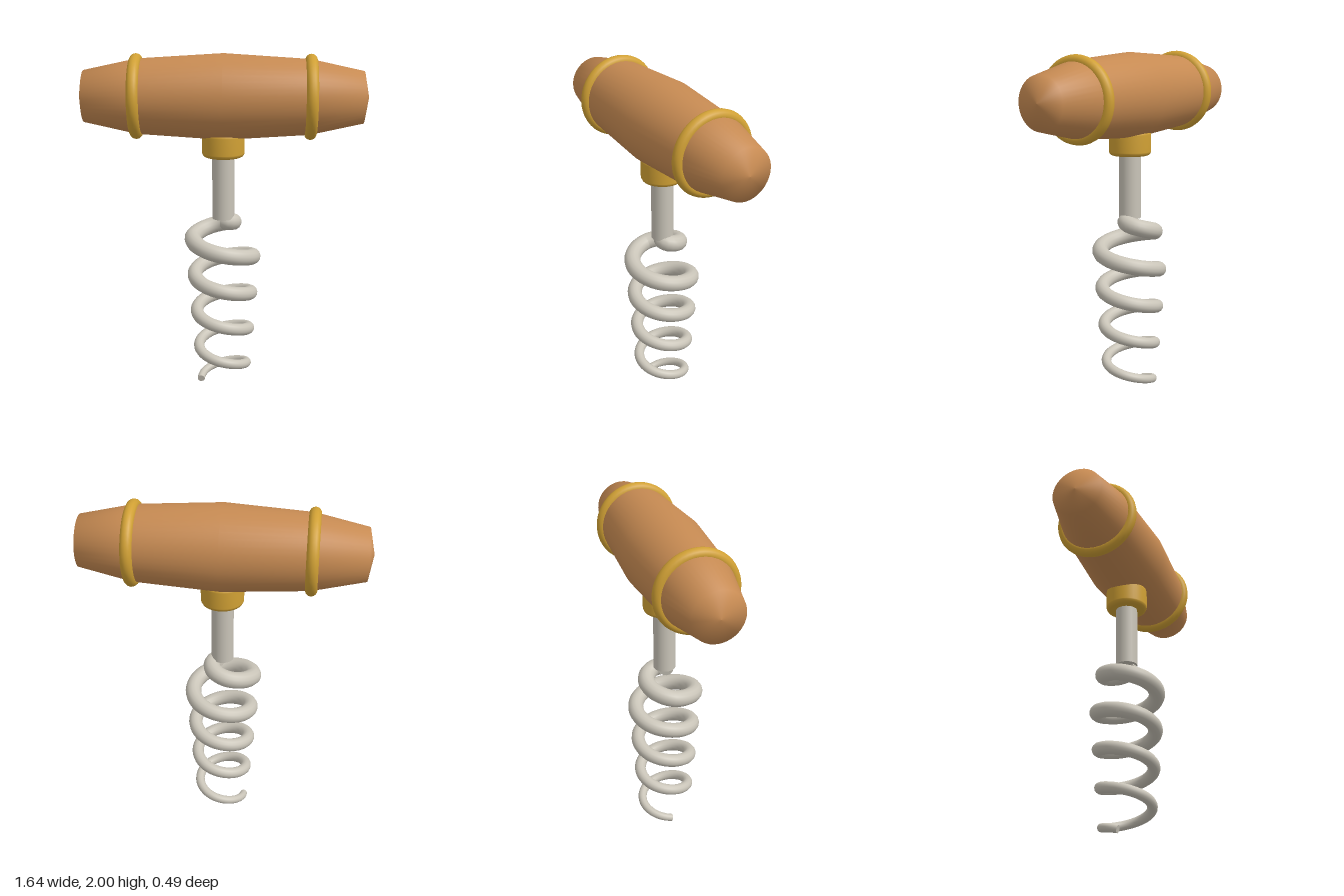
import * as THREE from 'three';

const wood = new THREE.MeshStandardMaterial({ color: 0xc68a52 });
wood.name = 'wood';
const brass = new THREE.MeshStandardMaterial({ color: 0xd0a034 });
brass.name = 'brass';
const steel = new THREE.MeshStandardMaterial({ color: 0xc9c4b8 });
steel.name = 'steel';

const HANDLE_Y = 1.757;
const TURNS = 4.62;

// Helix that widens upward, then curls in under the shaft
class WormCurve extends THREE.Curve {
  getPoint(u, target = new THREE.Vector3()) {
    const t = u * TURNS;
    const a = t * Math.PI * 2;
    const curl = Math.max(0, (t - 4) / (TURNS - 4));
    const r = (0.135 + 0.011 * t) * (1 - 0.95 * curl);
    const y = 0.025 + 0.226 * Math.min(t, 4) + 0.1 * Math.sin(curl * Math.PI / 2);
    return target.set(-Math.cos(a) * r, y, -Math.sin(a) * r);
  }
}

const wireRadius = (u) => 0.022 + 0.027 * Math.min(1, (u * TURNS) / 4) ** 0.75;

function mesh(name, geometry, material) {
  const m = new THREE.Mesh(geometry, material);
  m.name = name;
  return m;
}

function lathe(points, segments) {
  return new THREE.LatheGeometry(points.map(([r, y]) => new THREE.Vector2(r, y)), segments);
}

// Tapered wire: each tube vertex is set at the local wire radius
function buildWorm() {
  const group = new THREE.Group();
  group.name = 'worm';
  const curve = new WormCurve();
  curve.arcLengthDivisions = 800;
  const steps = 260, sides = 14;
  const geo = new THREE.TubeGeometry(curve, steps, 1, sides, false);
  const pos = geo.attributes.position, nor = geo.attributes.normal;
  const n = new THREE.Vector3();
  for (let i = 0; i <= steps; i++) {
    const centre = curve.getPointAt(i / steps);
    const r = wireRadius(curve.getUtoTmapping(i / steps));
    for (let j = 0; j <= sides; j++) {
      const k = i * (sides + 1) + j;
      n.fromBufferAttribute(nor, k).multiplyScalar(r).add(centre);
      pos.setXYZ(k, n.x, n.y, n.z);
    }
  }
  group.add(mesh('wormWire', geo, steel));

  // Flat ends of the wire
  for (const u of [0, 1]) {
    const cap = mesh(u ? 'wormTopEnd' : 'wormTip', new THREE.CircleGeometry(wireRadius(u), sides), steel);
    const out = curve.getTangentAt(u).multiplyScalar(u ? 1 : -1);
    cap.position.copy(curve.getPointAt(u));
    cap.quaternion.setFromUnitVectors(new THREE.Vector3(0, 0, 1), out);
    group.add(cap);
  }
  return group;
}

export function createModel() {
  const model = new THREE.Group();
  model.name = 'corkscrew';

  // Barrel-shaped handle lying along x
  const handle = mesh('handle', lathe([
    [0, -0.82], [0.147, -0.79], [0.212, -0.49], [0.243, 0],
    [0.212, 0.49], [0.147, 0.79], [0, 0.82],
  ], 40), wood);
  handle.rotation.z = -Math.PI / 2;
  handle.position.y = HANDLE_Y;
  model.add(handle);

  // Brass bands around the handle
  for (const side of [-1, 1]) {
    const band = mesh(side > 0 ? 'leftBand' : 'rightBand', new THREE.TorusGeometry(0.207, 0.034, 14, 48), brass);
    band.rotation.y = Math.PI / 2;
    band.position.set(side * 0.493, HANDLE_Y, 0);
    model.add(band);
  }

  // Collar with a softened lower edge
  model.add(mesh('collar', lathe([
    [0, 1.414], [0.1, 1.414], [0.104, 1.4145], [0.115, 1.42], [0.121, 1.431],
    [0.122, 1.437], [0.122, 1.535], [0.119, 1.547], [0.105, 1.557], [0, 1.558],
  ], 36), brass));

  // Shaft
  const shaft = mesh('shaft', new THREE.CylinderGeometry(0.064, 0.064, 0.4, 24), steel);
  shaft.position.y = 1.247;
  model.add(shaft);

  model.add(buildWorm());
  return model;
}
